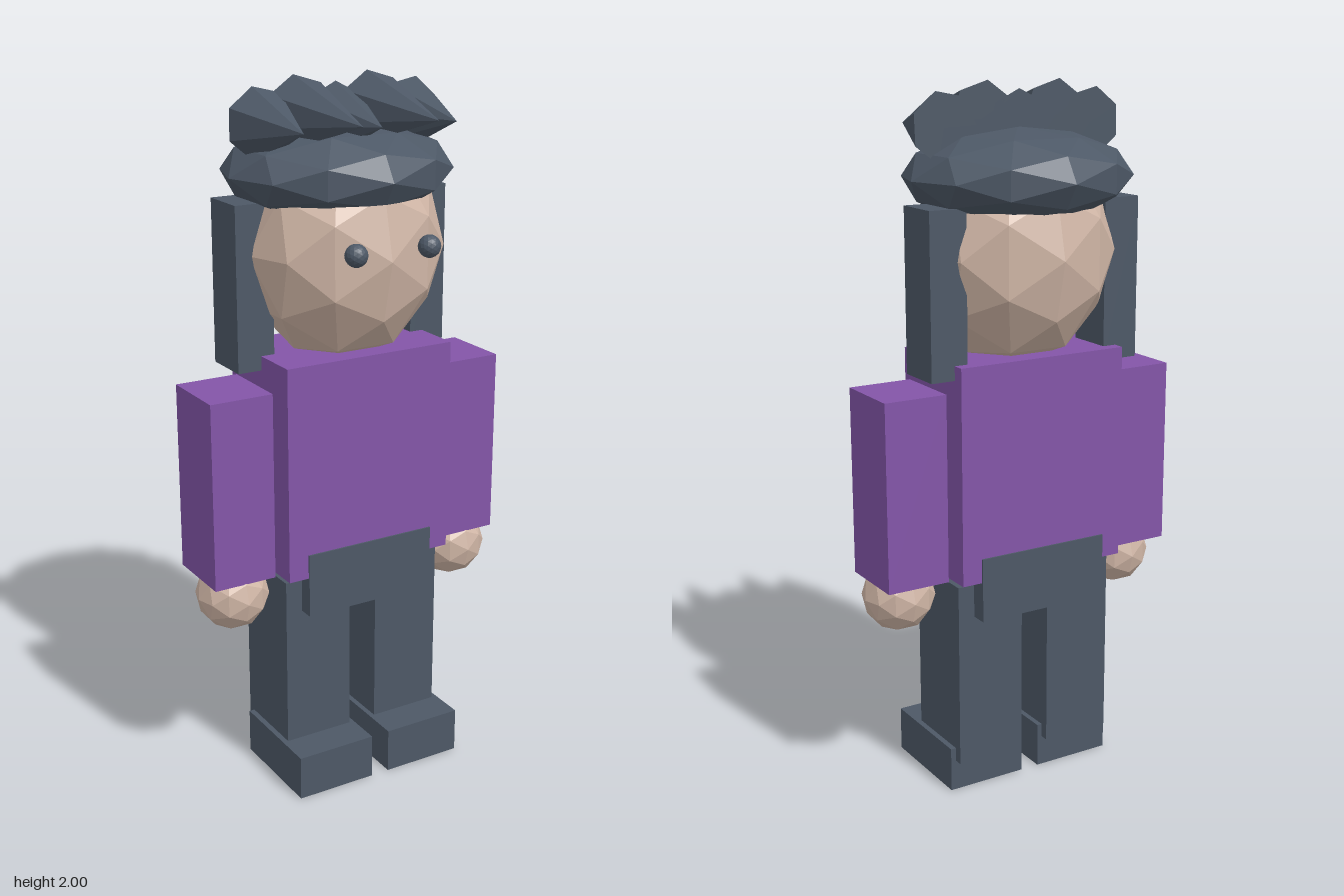
import * as THREE from 'three';

const material = (name, color) => {
  const m = new THREE.MeshStandardMaterial({ color, flatShading: true });
  m.name = name;
  return m;
};

export function createModel() {
  const group = new THREE.Group();
  const purple = material('purple shirt', 0x8355a8);
  const slate = material('dark slate', 0x4d5866);
  const skin = material('skin', 0xd0b6a6);

  const add = (name, geometry, mat) => {
    const mesh = new THREE.Mesh(geometry, mat);
    mesh.name = name;
    group.add(mesh);
    return mesh;
  };

  // Box given by its minimum and maximum corners
  const box = (name, mat, [x0, y0, z0], [x1, y1, z1]) => {
    const mesh = add(name, new THREE.BoxGeometry(x1 - x0, y1 - y0, z1 - z0), mat);
    mesh.position.set((x0 + x1) / 2, (y0 + y1) / 2, (z0 + z1) / 2);
  };

  // Faceted ellipsoid
  const ball = (name, mat, centre, radii, detail = 1) => {
    const geometry = new THREE.IcosahedronGeometry(1, detail).scale(...radii);
    add(name, geometry, mat).position.set(...centre);
  };

  // Body
  box('torso', purple, [-0.26, 0.65, -0.155], [0.26, 1.265, 0.165]);
  box('hips', slate, [-0.2, 0.535, -0.16], [0.2, 0.72, 0.17]);

  // Head and hair cap
  ball('head', skin, [0, 1.54, 0.005], [0.287, 0.32, 0.26]);
  ball('hairCap', slate, [0, 1.745, -0.018], [0.327, 0.13, 0.287]);

  // Limbs, eyes and side hair, mirrored
  for (const [side, s] of [['left', 1], ['right', -1]]) {
    const pair = (name, mat, [x0, y0, z0], [x1, y1, z1]) =>
      box(side + name, mat,
        [Math.min(s * x0, s * x1), y0, z0], [Math.max(s * x0, s * x1), y1, z1]);
    pair('Arm', purple, [0.275, 0.65, -0.1], [0.46, 1.185, 0.11]);
    pair('Leg', slate, [0.043, 0.09, -0.11], [0.25, 0.63, 0.125]);
    pair('Foot', slate, [0.028, 0, -0.085], [0.266, 0.13, 0.228]);
    pair('SideHair', slate, [0.22, 1.225, -0.12], [0.33, 1.68, 0.02]);
    ball(side + 'Hand', skin, [s * 0.368, 0.594, 0.025], [0.104, 0.104, 0.104]);
    ball(side + 'Eye', slate, [s * 0.112, 1.572, 0.268], [0.031, 0.031, 0.031], 2);
  }

  // Row of forward-pointing hair spikes: x, y, radius, tip z, turn in degrees
  const spikes = [
    [-0.23, 1.88, 0.097, 0.21, 102],
    [-0.113, 1.9, 0.1, 0.3, 99],
    [0, 1.88, 0.095, 0.21, 90],
    [0.113, 1.9, 0.1, 0.3, 99],
    [0.23, 1.88, 0.097, 0.21, 75],
  ];
  const baseZ = -0.025;
  spikes.forEach(([x, y, radius, tipZ, turn], i) => {
    const length = tipZ - baseZ;
    const geometry = new THREE.ConeGeometry(radius, length, 7)
      .rotateX(Math.PI / 2)
      .rotateZ(THREE.MathUtils.degToRad(turn + 90));
    add('hairSpike' + (i + 1), geometry, slate).position.set(x, y, baseZ + length / 2);
  });

  return group;
}
